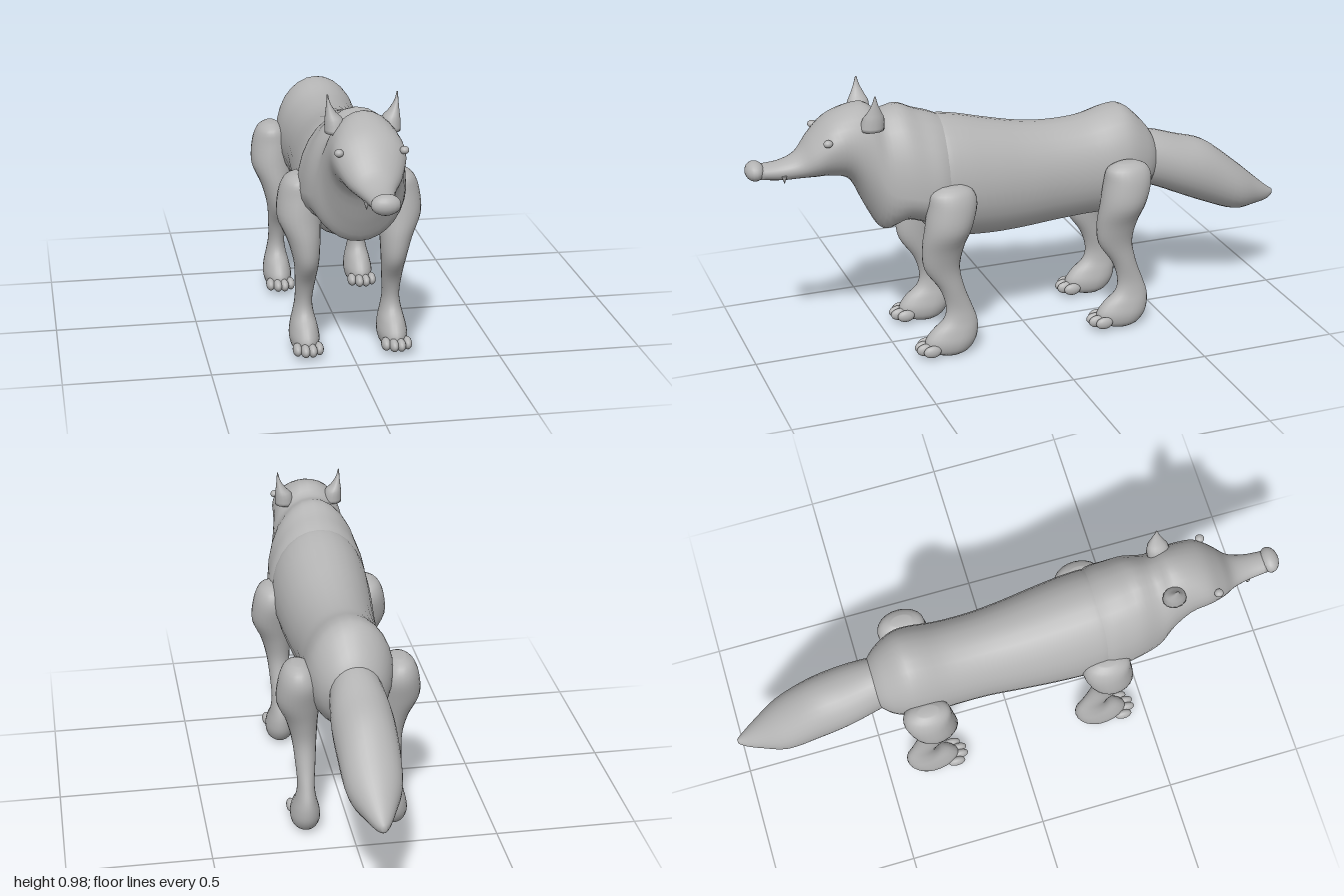
import * as THREE from 'three';

const fur = new THREE.MeshStandardMaterial({ color: 0xb4b4b4 });
fur.name = 'grey fur';

function add(parent, name, geometry) {
  const mesh = new THREE.Mesh(geometry, fur);
  mesh.name = name;
  parent.add(mesh);
  return mesh;
}

// Smooth closed loft. Row: [s, aMin, aMax, halfWidth, aWidest, centreX].
// s runs along z (list rising) or, when upright, along y (list falling); a is the other axis.
function loft(rows, upright = false, side = 1, sub = 4, n = 28) {
  const columns = [0, 1, 2, 3, 4, 5].map(c =>
    new THREE.SplineCurve(rows.map((r, i) => new THREE.Vector2(i, r[c] ?? 0))));
  const steps = (rows.length - 1) * sub;
  const pos = [], index = [];
  const put = (x, a, s) => upright ? pos.push(x, s, a) : pos.push(x, a, s);
  let first, last;
  for (let i = 0; i <= steps; i++) {
    const [s, lo, hi, w, mid, cx] = columns.map(c => c.getPoint(i / steps).y);
    last = [cx * side, mid, s];
    first ??= last;
    for (let j = 0; j < n; j++) {
      const t = j / n * Math.PI * 2, sn = Math.sin(t);
      put(cx * side + w * Math.cos(t), mid + sn * (sn > 0 ? hi - mid : mid - lo), s);
    }
  }
  put(...first);
  put(...last);
  const c0 = (steps + 1) * n, end = steps * n;
  for (let j = 0; j < n; j++) {
    const k = (j + 1) % n;
    for (let i = 0; i < steps; i++) {
      const a = i * n + j, b = i * n + k;
      index.push(a, b, b + n, a, b + n, a + n);
    }
    index.push(c0, k, j, c0 + 1, end + j, end + k);
  }
  const g = new THREE.BufferGeometry();
  g.setAttribute('position', new THREE.Float32BufferAttribute(pos, 3));
  g.setIndex(index);
  g.computeVertexNormals();
  return g;
}

function ball(parent, name, x, y, z, rx, ry, rz) {
  const mesh = add(parent, name, new THREE.SphereGeometry(1, 18, 12));
  mesh.position.set(x, y, z);
  mesh.scale.set(rx, ry, rz);
  return mesh;
}

// Leg outline from shoulder down to paw, measured for the front pair
const LEG = [
  [0.652, 0.29, 0.36, 0.02, 0.325, 0.175],
  [0.63, 0.25, 0.40, 0.05, 0.325, 0.175],
  [0.58, 0.235, 0.41, 0.072, 0.325, 0.172],
  [0.50, 0.255, 0.422, 0.075, 0.335, 0.174],
  [0.42, 0.28, 0.43, 0.056, 0.355, 0.16],
  [0.34, 0.293, 0.42, 0.043, 0.355, 0.152],
  [0.26, 0.277, 0.367, 0.035, 0.325, 0.152],
  [0.19, 0.252, 0.345, 0.03, 0.30, 0.154],
  [0.14, 0.234, 0.355, 0.036, 0.295, 0.155],
  [0.10, 0.23, 0.40, 0.046, 0.30, 0.155],
  [0.06, 0.237, 0.425, 0.052, 0.315, 0.155],
  [0.025, 0.26, 0.41, 0.044, 0.325, 0.155],
  [0.006, 0.29, 0.365, 0.022, 0.325, 0.155],
];

function makeLeg(name, side, dz) {
  const leg = new THREE.Group();
  leg.name = name;
  add(leg, 'limb', loft(LEG, true, side, 4, 24));
  // Toes fan across the front of the paw
  for (let i = 0; i < 4; i++) {
    const off = i - 1.5, outer = Math.abs(off) > 1;
    ball(leg, 'toe', side * 0.155 + off * 0.025, 0.04, outer ? 0.41 : 0.428, 0.016, 0.022, 0.032);
  }
  leg.position.z = dz;
  return leg;
}

export function createModel() {
  const model = new THREE.Group();
  model.name = 'fox';

  // Barrel and haunches
  add(model, 'torso', loft([
    [-0.51, 0.53, 0.64, 0.05, 0.58],
    [-0.48, 0.50, 0.70, 0.09, 0.60],
    [-0.44, 0.45, 0.75, 0.122, 0.60],
    [-0.38, 0.412, 0.802, 0.145, 0.61],
    [-0.32, 0.407, 0.805, 0.152, 0.60],
    [-0.22, 0.407, 0.78, 0.146, 0.59],
    [-0.10, 0.40, 0.775, 0.146, 0.59],
    [0.02, 0.392, 0.788, 0.156, 0.59],
    [0.14, 0.39, 0.815, 0.168, 0.60],
    [0.26, 0.40, 0.845, 0.176, 0.61],
    [0.34, 0.42, 0.85, 0.17, 0.62],
    [0.38, 0.46, 0.80, 0.13, 0.62],
  ]));

  // Neck ruff running into skull and muzzle
  add(model, 'neckAndHead', loft([
    [0.28, 0.47, 0.835, 0.155, 0.60],
    [0.34, 0.46, 0.864, 0.18, 0.61],
    [0.40, 0.48, 0.885, 0.18, 0.61],
    [0.46, 0.495, 0.91, 0.172, 0.62],
    [0.53, 0.465, 0.90, 0.152, 0.64],
    [0.58, 0.54, 0.93, 0.134, 0.73],
    [0.64, 0.66, 0.925, 0.124, 0.79],
    [0.71, 0.687, 0.895, 0.118, 0.80],
    [0.77, 0.69, 0.84, 0.094, 0.765],
    [0.82, 0.69, 0.78, 0.064, 0.735],
    [0.88, 0.69, 0.757, 0.047, 0.725],
    [0.95, 0.70, 0.752, 0.04, 0.727],
  ]));

  // Bushy tail
  add(model, 'tail', loft([
    [-1.0, 0.365, 0.388, 0.008, 0.377],
    [-0.975, 0.35, 0.405, 0.026, 0.38],
    [-0.92, 0.342, 0.452, 0.055, 0.40],
    [-0.83, 0.338, 0.53, 0.093, 0.435],
    [-0.71, 0.383, 0.622, 0.104, 0.50],
    [-0.60, 0.432, 0.658, 0.105, 0.545],
    [-0.50, 0.477, 0.69, 0.094, 0.58],
    [-0.42, 0.50, 0.70, 0.08, 0.60],
  ]));

  ball(model, 'nose', 0, 0.732, 0.967, 0.048, 0.034, 0.033);

  for (const side of [1, -1]) {
    const label = side > 0 ? 'left' : 'right';
    ball(model, label + 'Eye', side * 0.106, 0.835, 0.735, 0.015, 0.013, 0.016);
    // Ear sweeps up to a thin outer point
    add(model, label + 'Ear', loft([
      [0.985, 0.568, 0.573, 0.002, 0.57, 0.115],
      [0.955, 0.56, 0.582, 0.007, 0.57, 0.112],
      [0.925, 0.546, 0.596, 0.018, 0.57, 0.104],
      [0.90, 0.535, 0.61, 0.031, 0.572, 0.094],
      [0.86, 0.535, 0.62, 0.036, 0.575, 0.09],
    ], true, side, 3, 14));
    // Small fang beside the lip
    const fang = add(model, label + 'Fang', new THREE.ConeGeometry(0.01, 0.03, 8));
    fang.position.set(side * 0.043, 0.702, 0.875);
    fang.rotation.x = Math.PI;
    model.add(makeLeg(label + 'FrontLeg', side, 0), makeLeg(label + 'HindLeg', side, -0.655));
  }
  return model;
}
